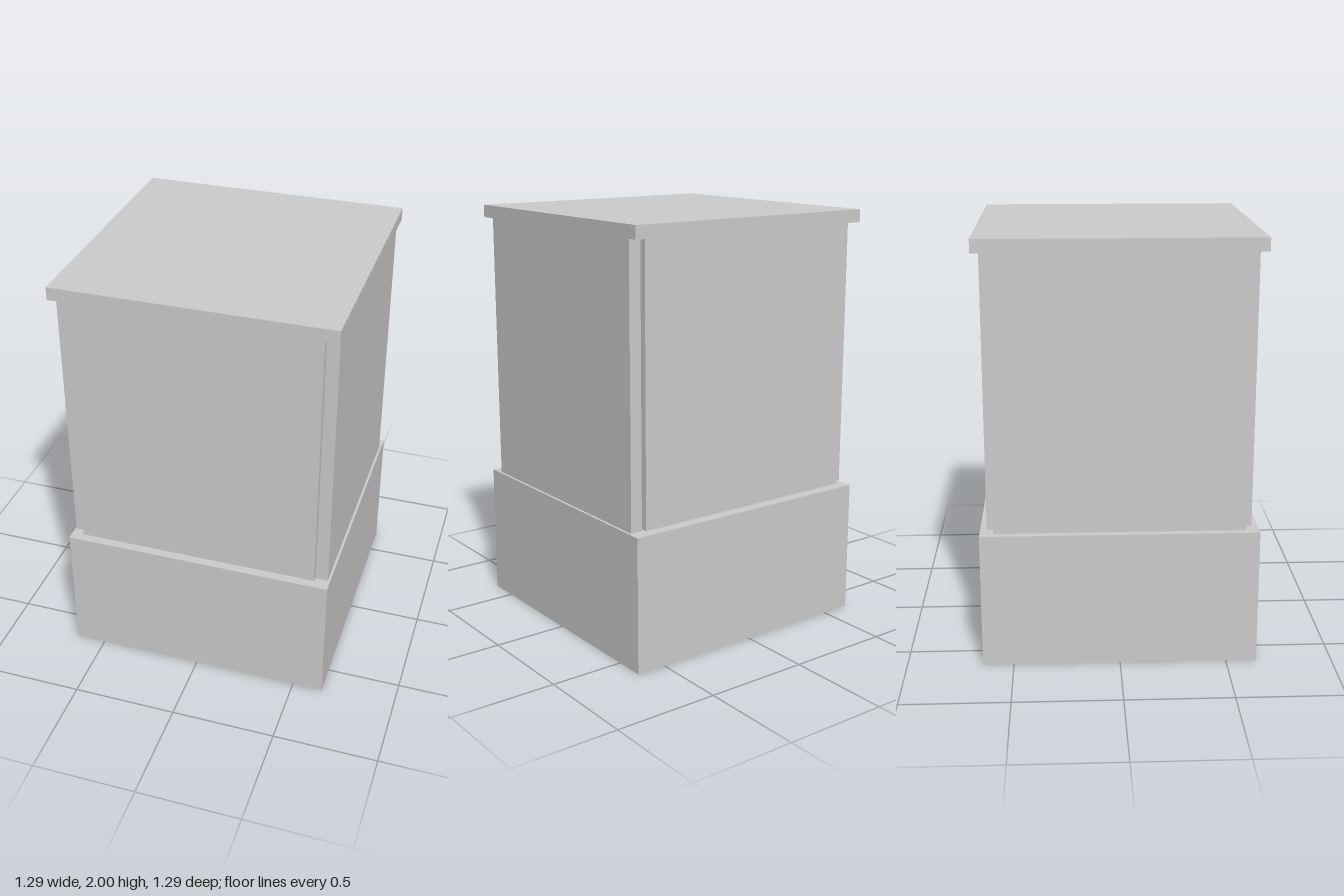
import * as THREE from 'three';

const material = new THREE.MeshStandardMaterial({ color: 0xcccccc, flatShading: true });

export function createModel() {
  const model = new THREE.Group();
  model.name = 'cabinet';

  // Box given by its limits along each axis
  const addBox = (name, [x0, x1], [y0, y1], [z0, z1]) => {
    const mesh = new THREE.Mesh(new THREE.BoxGeometry(x1 - x0, y1 - y0, z1 - z0), material);
    mesh.name = name;
    mesh.position.set((x0 + x1) / 2, (y0 + y1) / 2, (z0 + z1) / 2);
    model.add(mesh);
  };

  const half = 0.645, baseTop = 0.645, panelBottom = 0.654, capBottom = 1.94;
  const depth = [-0.58, 0.58];

  // Plinth and top slab
  addBox('base', [-half, half], [0, baseTop], [-half, half]);
  addBox('top', [-half, half], [capBottom, 2], [-half, half]);

  // Thick wall resting on the base
  addBox('leftWall', [0.575, 0.633], [baseTop, capBottom], depth);

  // Thin outer panel with its inner lining, hung just above the base
  addBox('rightPanel', [-0.633, -0.6], [panelBottom, capBottom], depth);
  addBox('rightLining', [-0.6, -0.583], [panelBottom, capBottom], depth);

  // Front and back panels, standing proud of the side walls
  addBox('frontPanel', [-0.583, 0.575], [panelBottom, capBottom], [0.58, 0.612]);
  addBox('backPanel', [-0.583, 0.575], [panelBottom, capBottom], [-0.612, -0.58]);

  return model;
}
